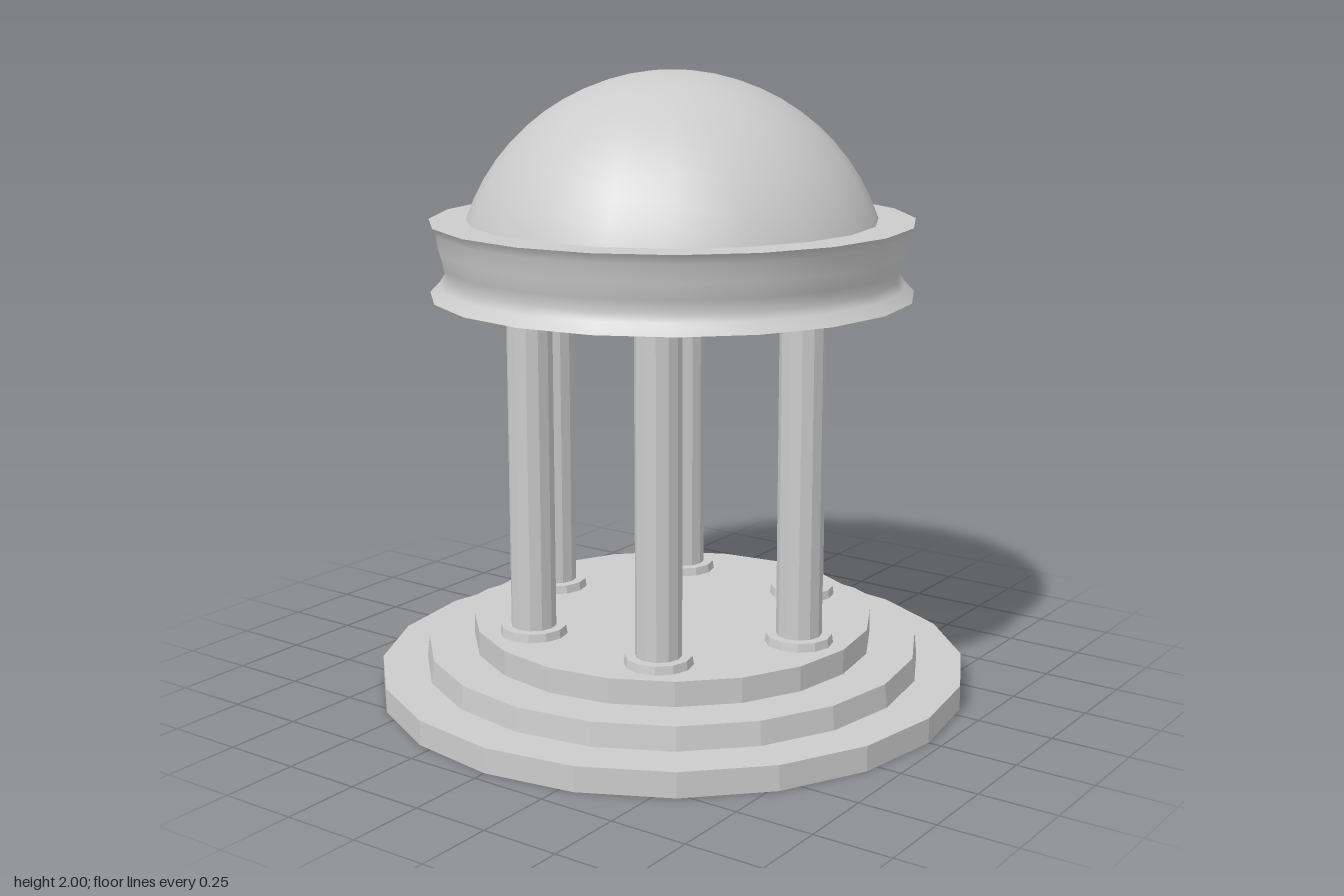
import * as THREE from 'three';

const SIDES = 20;
const flat = new THREE.MeshStandardMaterial({ color: 0xcccccc, flatShading: true });
const smooth = new THREE.MeshStandardMaterial({ color: 0xcccccc });

function add(parent, name, geometry, material, y = 0) {
  const mesh = new THREE.Mesh(geometry, material);
  mesh.name = name;
  mesh.position.y = y;
  parent.add(mesh);
  return mesh;
}

// Upright drum standing between heights y0 and y1
function drum(parent, name, rTop, rBottom, y0, y1, sides) {
  const geometry = new THREE.CylinderGeometry(rTop, rBottom, y1 - y0, sides);
  return add(parent, name, geometry, flat, (y0 + y1) / 2);
}

function lathe(points) {
  return new THREE.LatheGeometry(points.map(([r, y]) => new THREE.Vector2(r, y)), SIDES);
}

export function createModel() {
  const temple = new THREE.Group();
  temple.name = 'domedPavilion';

  // Three stacked steps
  drum(temple, 'lowerStep', 0.957, 0.957, 0, 0.08, SIDES);
  drum(temple, 'middleStep', 0.802, 0.81, 0.08, 0.155, SIDES);
  drum(temple, 'upperStep', 0.652, 0.652, 0.155, 0.235, SIDES);

  // Ring of six columns, each with a base and a capital
  for (let i = 0; i < 6; i++) {
    const angle = (i * Math.PI) / 3;
    const column = new THREE.Group();
    column.name = 'column' + (i + 1);
    column.position.set(0.006 + 0.49 * Math.cos(angle), 0, 0.012 + 0.48 * Math.sin(angle));
    drum(column, 'columnBase', 0.104, 0.108, 0.235, 0.262, 12);
    drum(column, 'columnShaft', 0.072, 0.072, 0.262, 1.27, 12);
    drum(column, 'columnCapital', 0.109, 0.106, 1.267, 1.302, 12);
    temple.add(column);
  }

  // Entablature: waisted band with flaring rims, closed above and below
  add(temple, 'entablatureBand', lathe([
    [0.77, 1.302], [0.738, 1.335], [0.722, 1.36], [0.732, 1.4],
    [0.746, 1.45], [0.75, 1.505], [0.77, 1.535],
  ]), smooth);
  add(temple, 'entablatureTop', lathe([[0.77, 1.535], [0, 1.535]]), flat);
  add(temple, 'entablatureUnderside', lathe([[0, 1.302], [0.77, 1.302]]), flat);

  // Dome: spherical cap
  const radius = 0.689;
  const capAngle = Math.acos((1.535 - (2 - radius)) / radius);
  add(temple, 'dome',
    new THREE.SphereGeometry(radius, SIDES, 12, 0, Math.PI * 2, 0, capAngle), smooth, 2 - radius);

  return temple;
}
